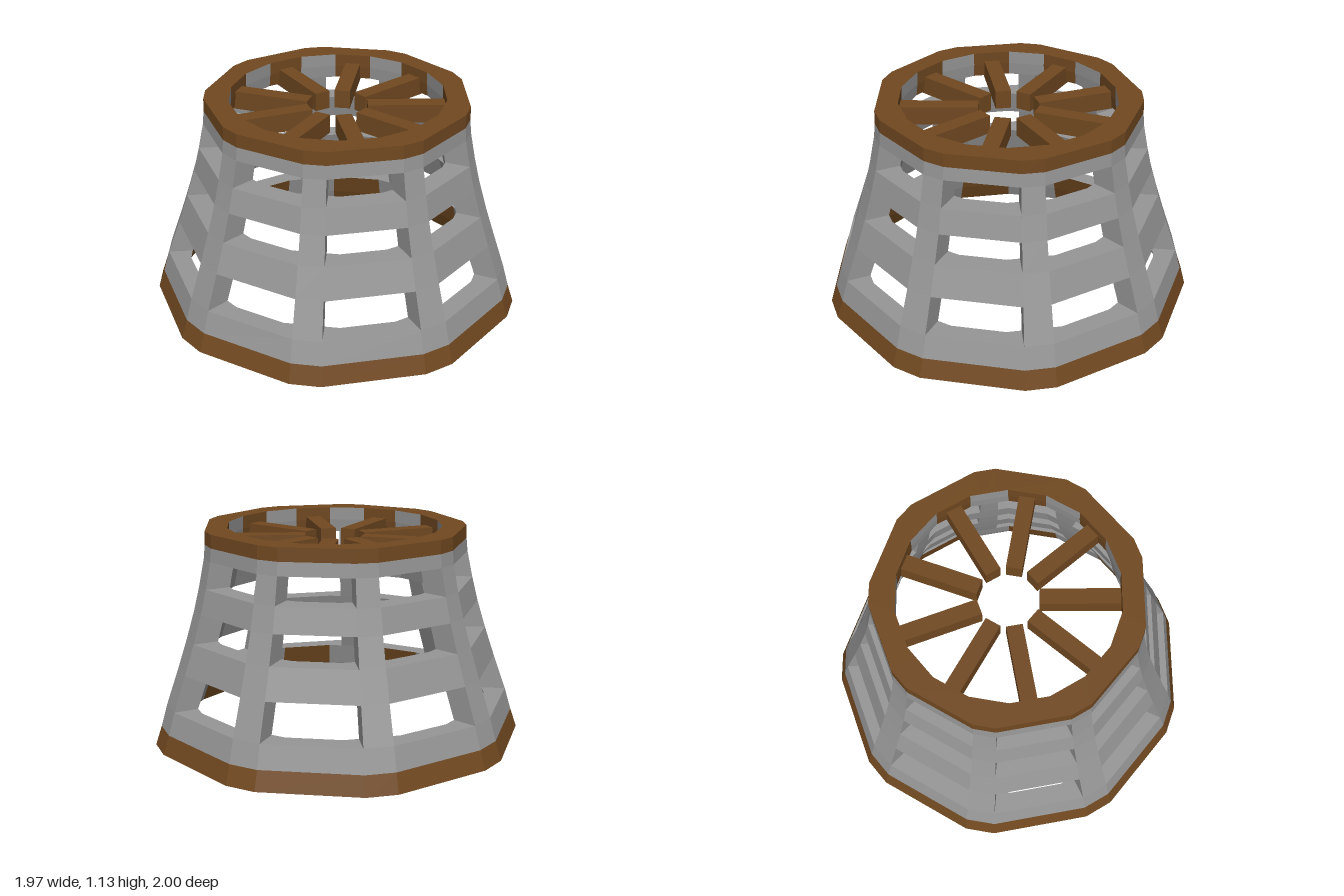
import * as THREE from 'three';

const SECTORS = 9;
const rad = THREE.MathUtils.degToRad;

// Flared profile: [height, outer radius, wall thickness]
const LEVELS = [
  [0, 1.004, 0.115], [0.1, 0.97, 0.12], [0.22, 0.935, 0.12], [0.41, 0.868, 0.125],
  [0.57, 0.815, 0.125], [0.72, 0.77, 0.125], [0.85, 0.738, 0.125], [0.99, 0.709, 0.125],
  [1.06, 0.702, 0.127], [1.13, 0.7, 0.127],
];
const HEIGHT = 1.13;
const POST = 4.6;   // half angle of a post
const INNER = 10;   // half angle of the flat inner facet behind a post
const centreX = (y) => 0.017 + 0.008 * (y / HEIGHT);

// Corner on the outer ('o') or inner ('i') face at an angle and level
function corner([side, off], base, level) {
  const [y, outer, thick] = LEVELS[level];
  let r = outer;
  if (side === 'i') {
    const fromPost = off > 20 ? off - 40 : off;
    r = outer - thick;
    if (Math.abs(fromPost) < INNER) r *= Math.cos(rad(INNER)) / Math.cos(rad(fromPost));
  }
  const a = rad(base + off);
  return new THREE.Vector3(centreX(y) + r * Math.cos(a), y, -r * Math.sin(a));
}

// Cross-sections, anticlockwise from above, with the kind of face on each edge
const postSection = {
  loop: [['o', -POST], ['o', POST], ['i', POST], ['i', -POST]],
  faces: ['outer', 'stone', 'stone', 'stone'],
};
const panelSection = {
  loop: [['o', POST], ['o', 40 - POST], ['i', 40 - POST], ['i', 40 - INNER], ['i', INNER], ['i', POST]],
  faces: ['outer', null, 'stone', 'inner', 'stone', null],
};

function faceColour(kind, level) {
  if (kind === 'outer') return level === 0 || level === 8 ? 'wood' : 'stone';
  if (kind === 'inner') return level < 2 || level > 6 ? 'wood' : 'stone';
  return 'stone';
}

// Solid wall piece between two levels, with stone and wood face groups
function wallPiece(name, section, base, from, to, materials) {
  const faces = { stone: [], wood: [] };
  const rings = [];
  for (let l = from; l <= to; l++) rings.push(section.loop.map((c) => corner(c, base, l)));
  const n = section.loop.length;
  for (let l = from; l < to; l++) {
    const low = rings[l - from], high = rings[l - from + 1];
    section.faces.forEach((kind, k) => {
      if (!kind) return;
      const m = (k + 1) % n;
      faces[faceColour(kind, l)].push(low[k], low[m], high[m], low[k], high[m], high[k]);
    });
  }
  // Top and bottom caps
  const cap = (ring, up, colour) => {
    const flat = ring.map((p) => new THREE.Vector2(p.x, -p.z));
    for (const [a, b, c] of THREE.ShapeUtils.triangulateShape(flat, [])) {
      faces[colour].push(ring[a], ring[up ? b : c], ring[up ? c : b]);
    }
  };
  cap(rings[0], false, from === 0 ? 'wood' : 'stone');
  cap(rings[rings.length - 1], true, to === LEVELS.length - 1 ? 'wood' : 'stone');

  const geometry = new THREE.BufferGeometry().setFromPoints([...faces.stone, ...faces.wood]);
  geometry.addGroup(0, faces.stone.length, 0);
  geometry.addGroup(faces.stone.length, faces.wood.length, 1);
  geometry.computeVertexNormals();
  const mesh = new THREE.Mesh(geometry, materials);
  mesh.name = name;
  return mesh;
}

export function createModel() {
  const stone = new THREE.MeshStandardMaterial({ color: 0x969696 });
  stone.name = 'greyStone';
  const wood = new THREE.MeshStandardMaterial({ color: 0x704820 });
  wood.name = 'brownWood';
  const materials = [stone, wood];

  const model = new THREE.Group();
  model.name = 'flaredLatticeTower';
  const posts = new THREE.Group();
  posts.name = 'posts';
  const bands = new THREE.Group();
  bands.name = 'bands';
  const spokes = new THREE.Group();
  spokes.name = 'spokes';
  model.add(posts, bands, spokes);

  // Bands between the posts, leaving three rows of openings
  const rows = [['bottomRim', 0, 2], ['lowerBand', 3, 4], ['upperBand', 5, 6], ['topRim', 7, 9]];
  const spokeGeometry = new THREE.BoxGeometry(0.44, 0.1, 0.084);
  spokeGeometry.translate(0.157 + 0.22, 0, 0);

  for (let i = 0; i < SECTORS; i++) {
    const base = 20 + i * 40;
    posts.add(wallPiece('post', postSection, base, 0, 9, materials));
    for (const [name, from, to] of rows) {
      bands.add(wallPiece(name, panelSection, base, from, to, materials));
    }
    // Spoke pointing from the top rim to the open hub
    const spoke = new THREE.Mesh(spokeGeometry, wood);
    spoke.name = 'spoke';
    spoke.position.set(centreX(HEIGHT), 1.03, 0);
    spoke.rotation.y = rad(i * 40);
    spokes.add(spoke);
  }
  return model;
}
